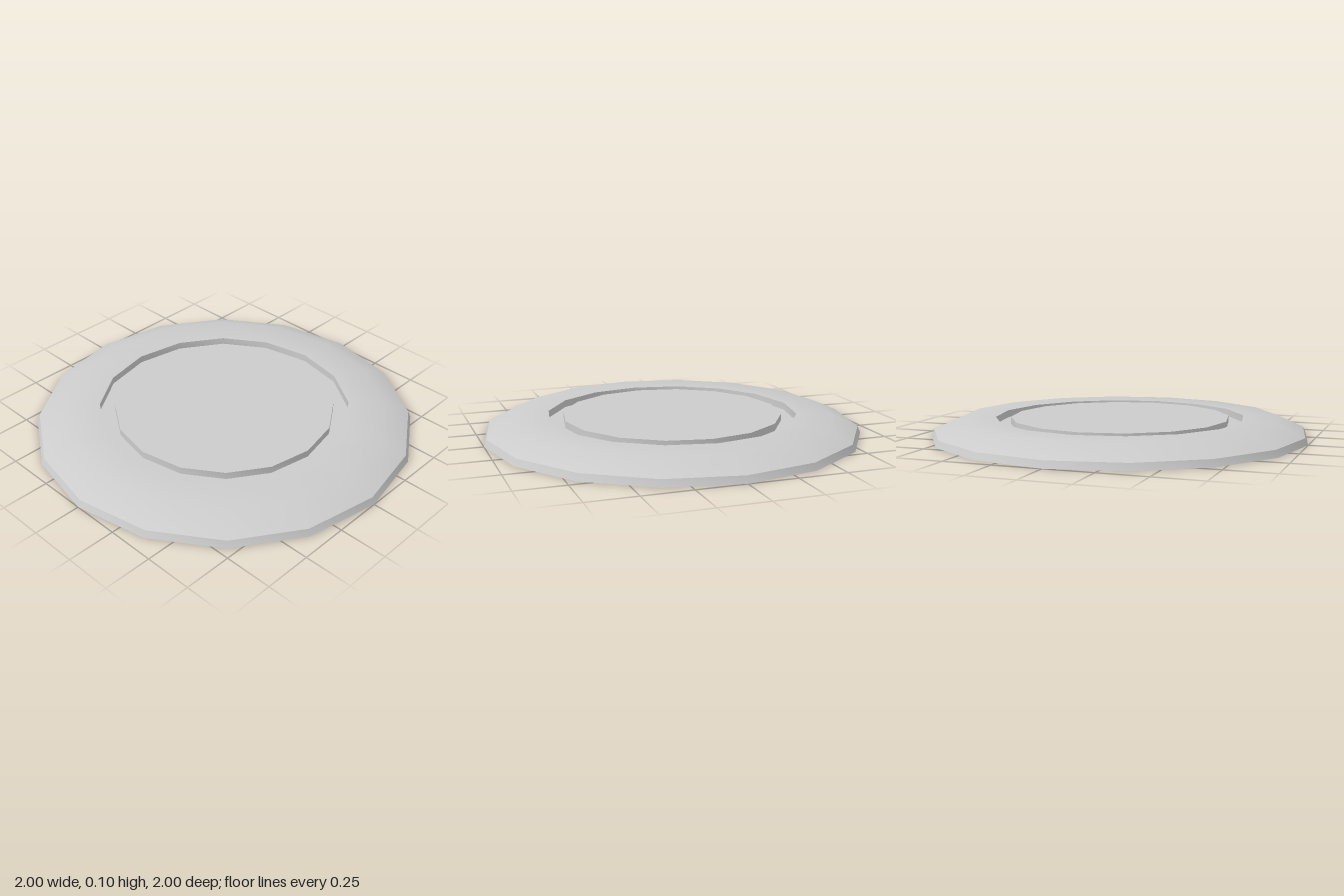
import * as THREE from 'three';
import { toCreasedNormals } from 'three/addons/utils/BufferGeometryUtils.js';

const SIDES = 16;
const TOP = 0.098;
const FLOOR = 0.06;
const DISC_RADIUS = 0.58;
const GROOVE_RADIUS = 0.66;

export function createModel() {
  const group = new THREE.Group();
  group.name = 'pressedCover';
  const material = new THREE.MeshStandardMaterial({ color: 0xcccccc, side: THREE.DoubleSide });

  const add = (name, geometry) => {
    const mesh = new THREE.Mesh(geometry, material);
    mesh.name = name;
    group.add(mesh);
  };

  // Revolve a thin sheet from a [radius, height] profile
  const sheet = (profile) => toCreasedNormals(
    new THREE.LatheGeometry(profile.map(([r, y]) => new THREE.Vector2(r, y)), SIDES), 0.6);

  // Outer lip, sloping shoulder and flat rim
  add('rim', sheet([[1, 0], [0.985, 0.035], [0.845, TOP], [GROOVE_RADIUS, TOP]]));

  // Groove pressed down between rim and centre
  add('groove', sheet([
    [GROOVE_RADIUS, TOP], [GROOVE_RADIUS, FLOOR], [DISC_RADIUS, FLOOR], [DISC_RADIUS, TOP],
  ]));

  // Flat centre panel
  add('centreDisc', new THREE.CircleGeometry(DISC_RADIUS, SIDES).rotateX(-Math.PI / 2).translate(0, TOP, 0));

  return group;
}
